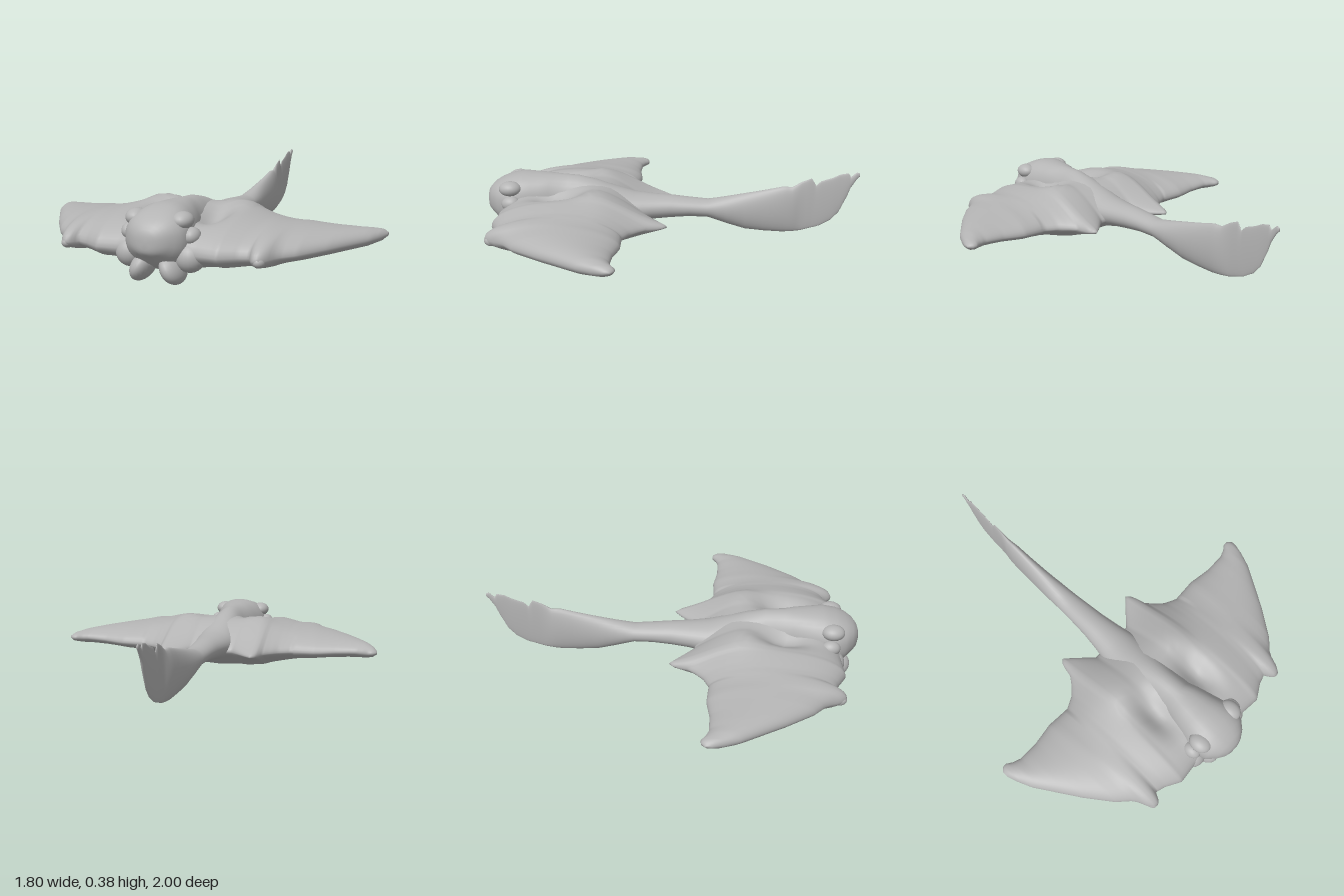
import * as THREE from 'three';

const skinGrey = new THREE.MeshStandardMaterial({ color: 0xb4b4b4 });
skinGrey.name = 'skin grey';

// Piecewise linear lookup in rows of [key, value, value...], keys ascending
function lookup(rows, k) {
  let i = 0;
  while (i < rows.length - 2 && k > rows[i + 1][0]) i++;
  const a = rows[i], b = rows[i + 1];
  const t = THREE.MathUtils.clamp((k - a[0]) / (b[0] - a[0]), 0, 1);
  return a.map((v, n) => v + (b[n] - v) * t);
}

// Closed skin over rings that run counterclockwise about the direction of travel
function skin(rings, name) {
  const n = rings[0].length, pos = [], idx = [];
  rings.forEach(r => r.forEach(p => pos.push(...p)));
  for (let i = 0; i < rings.length - 1; i++) {
    for (let j = 0; j < n; j++) {
      const a = i * n + j, b = i * n + (j + 1) % n;
      idx.push(a, b, a + n, b, b + n, a + n);
    }
  }
  [0, rings.length - 1].forEach((ri, end) => {
    const c = pos.length / 3;
    pos.push(...[0, 1, 2].map(k => rings[ri].reduce((s, p) => s + p[k], 0) / n));
    for (let j = 0; j < n; j++) {
      const a = ri * n + j, b = ri * n + (j + 1) % n;
      if (end) idx.push(c, a, b); else idx.push(c, b, a);
    }
  });
  const g = new THREE.BufferGeometry();
  g.setAttribute('position', new THREE.Float32BufferAttribute(pos, 3));
  g.setIndex(idx);
  g.computeVertexNormals();
  const m = new THREE.Mesh(g, skinGrey);
  m.name = name;
  return m;
}

// Wing outline: [x, z]
const trailing = [[0, 0.13], [0.12, 0.13], [0.16, 0.09], [0.21, 0.04], [0.25, 0.005], [0.275, 0.03],
  [0.29, 0.1], [0.32, 0.14], [0.365, 0.185], [0.43, 0.217], [0.56, 0.21], [0.68, 0.23],
  [0.79, 0.23], [0.83, 0.215], [0.86, 0.195], [0.88, 0.197], [0.9, 0.215]];
const leading = [[0, 0.9], [0.12, 0.9], [0.19, 0.9], [0.3, 0.91], [0.38, 0.865], [0.43, 0.85],
  [0.45, 0.885], [0.465, 0.9], [0.49, 0.895], [0.51, 0.87], [0.53, 0.82], [0.55, 0.79],
  [0.61, 0.735], [0.71, 0.6], [0.85, 0.38], [0.88, 0.31], [0.9, 0.25]];
// Wing thickness: [x, bottom y, edge y, top y]
const depth = [[0, 0.02, 0.15, 0.31], [0.15, 0.03, 0.15, 0.31], [0.25, 0.045, 0.15, 0.3],
  [0.4, 0.07, 0.15, 0.265], [0.6, 0.1, 0.155, 0.24], [0.75, 0.12, 0.165, 0.222],
  [0.83, 0.13, 0.168, 0.21], [0.88, 0.145, 0.17, 0.195], [0.9, 0.162, 0.17, 0.178]];

function wings() {
  const xs = [], rings = [];
  for (let i = 0; i < 90; i++) xs.push(i / 100);
  xs.push(0.9);
  const all = [...xs.slice(1).reverse().map(x => -x), ...xs];
  for (const x of all) {
    const ax = Math.abs(x), z0 = lookup(trailing, ax)[1], z1 = lookup(leading, ax)[1];
    const [, low, mid, high] = lookup(depth, ax);
    const ring = [];
    for (let j = 0; j < 48; j++) {
      const a = j / 48 * Math.PI * 2, c = Math.cos(a);
      const z = (z0 + z1) / 2 + (z1 - z0) / 2 * Math.sin(a);
      let h = c > 0 ? (high - mid) * c : (mid - low) * c;
      // Thin the pelvic fins at the back, beside the tail
      if (ax < 0.45) h *= THREE.MathUtils.lerp(0.35, 1, THREE.MathUtils.smoothstep(z, 0, 0.36));
      // Hollow beside the neck, swelling behind it
      if (c > 0) {
        h -= c * 0.08 * Math.exp(-(((ax - 0.15) / 0.075) ** 2) - ((z - 0.6) / 0.13) ** 2);
        h += c * 0.02 * Math.exp(-(((ax - 0.2) / 0.08) ** 2) - ((z - 0.4) / 0.07) ** 2);
      }
      ring.push([x, mid + h, z]);
    }
    rings.push(ring);
  }
  return skin(rings, 'wings');
}

// Head, spine and tail: [z, half width, bottom y, top y]
const spine = [[-1, 0.004, 0.365, 0.382], [-0.985, 0.006, 0.35, 0.388], [-0.955, 0.007, 0.3, 0.362],
  [-0.94, 0.008, 0.255, 0.382], [-0.9, 0.008, 0.165, 0.375], [-0.86, 0.009, 0.12, 0.355],
  [-0.8, 0.009, 0.085, 0.335], [-0.775, 0.009, 0.077, 0.31], [-0.75, 0.01, 0.07, 0.35],
  [-0.7, 0.013, 0.055, 0.33], [-0.65, 0.026, 0.048, 0.3], [-0.6, 0.033, 0.045, 0.302],
  [-0.5, 0.04, 0.05, 0.28], [-0.4, 0.047, 0.06, 0.26], [-0.3, 0.055, 0.09, 0.24],
  [-0.2, 0.06, 0.125, 0.222], [-0.1, 0.067, 0.128, 0.23], [0, 0.075, 0.12, 0.24],
  [0.1, 0.09, 0.11, 0.245], [0.2, 0.11, 0.09, 0.255], [0.3, 0.115, 0.07, 0.285],
  [0.4, 0.105, 0.055, 0.32], [0.5, 0.095, 0.04, 0.343], [0.6, 0.1, 0.03, 0.35],
  [0.7, 0.125, 0.03, 0.356], [0.8, 0.15, 0.04, 0.36], [0.87, 0.155, 0.07, 0.345],
  [0.92, 0.138, 0.1, 0.325], [0.96, 0.1, 0.135, 0.3], [0.985, 0.06, 0.155, 0.27], [0.995, 0.025, 0.18, 0.24]];

function headAndTail() {
  const rings = [];
  const stations = spine.flatMap(([z], i) => i ? [(z + spine[i - 1][0]) / 2, z] : [z]);
  for (const z of stations) {
    const [, w, low, high] = lookup(spine, z), ring = [];
    for (let j = 0; j < 32; j++) {
      const a = j / 32 * Math.PI * 2;
      const s = Math.sin(a), c = Math.cos(a);
      const boxy = z > 0.6 ? 0.85 : 1;
      ring.push([w * Math.sign(c) * Math.abs(c) ** boxy,
        (low + high) / 2 + (high - low) / 2 * Math.sign(s) * Math.abs(s) ** boxy, z]);
    }
    rings.push(ring);
  }
  return skin(rings, 'headAndTail');
}

function blob(name, x, y, z, rx, ry, rz, tilt = 0) {
  const m = new THREE.Mesh(new THREE.SphereGeometry(1, 24, 16), skinGrey);
  m.name = name;
  m.position.set(x, y, z);
  m.scale.set(rx, ry, rz);
  m.rotation.z = tilt;
  return m;
}

export function createModel() {
  const model = new THREE.Group();
  model.name = 'ray';
  model.add(wings(), headAndTail());
  for (const s of [-1, 1]) {
    const side = s > 0 ? 'left' : 'right';
    model.add(
      // Mouth lobes hanging under the snout
      blob(side + 'MouthLobe', s * 0.075, 0.075, 0.87, 0.05, 0.075, 0.09, s * 0.5),
      blob(side + 'Cheek', s * 0.15, 0.13, 0.85, 0.07, 0.07, 0.07),
      blob(side + 'Eye', s * 0.155, 0.225, 0.84, 0.04, 0.04, 0.05),
      blob(side + 'Brow', s * 0.115, 0.295, 0.85, 0.05, 0.04, 0.06),
      // Small horn on the leading edge
      blob(side + 'Horn', s * 0.48, 0.145, 0.86, 0.03, 0.028, 0.04, s * -0.3));
  }
  return model;
}
